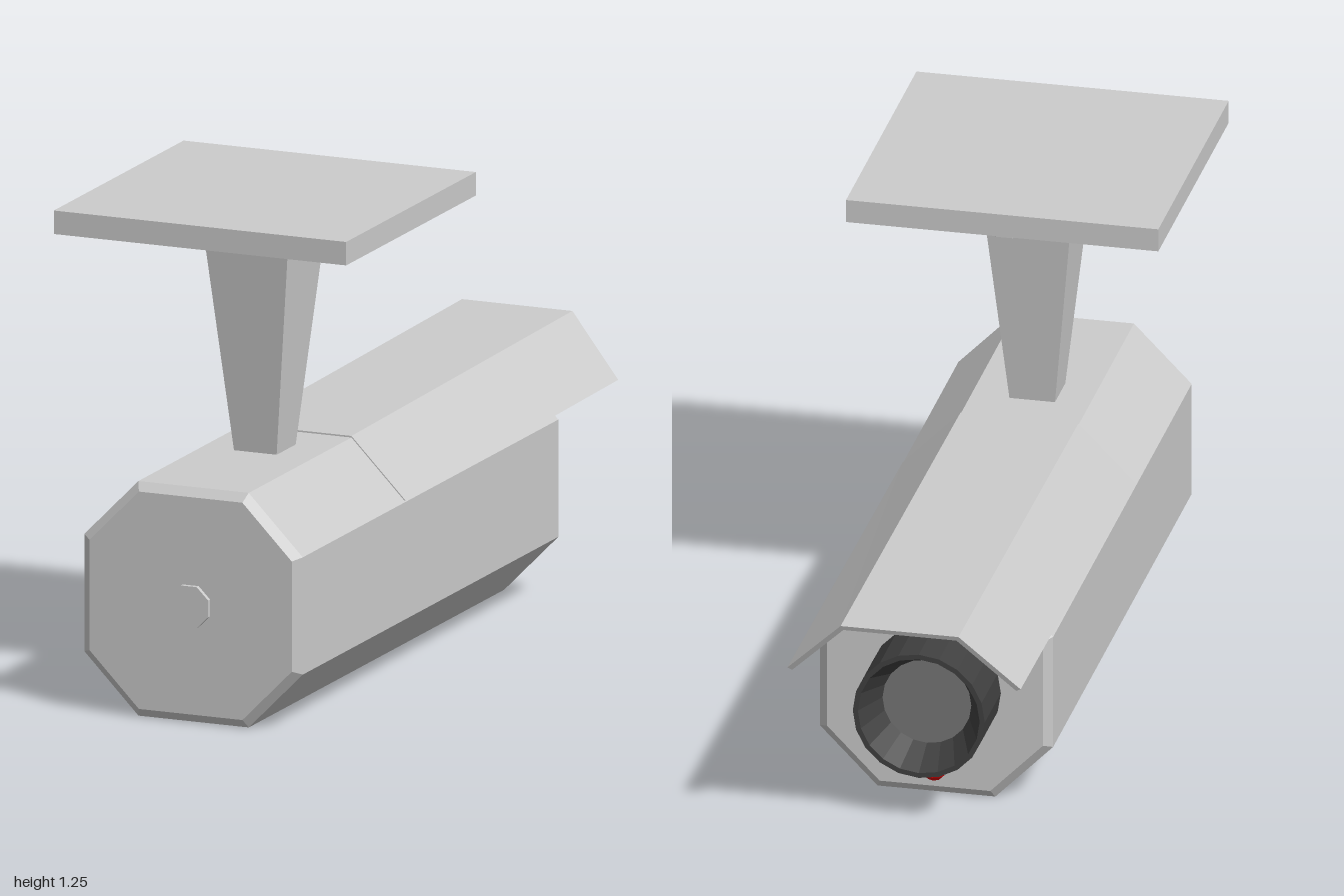
import * as THREE from 'three';

const material = (color = 0xcccccc) => new THREE.MeshStandardMaterial({ color, flatShading: true });

export function createModel() {
  const model = new THREE.Group();
  const grey = material(), black = material(0x404040), glass = material(0x777777), red = material(0xdd0000);

  const add = (name, geometry, mat, x = 0, y = 0, z = 0) => {
    const mesh = new THREE.Mesh(geometry, mat);
    mesh.name = name;
    mesh.position.set(x, y, z);
    model.add(mesh);
    return mesh;
  };
  const shape = pts => new THREE.Shape(pts.map(p => new THREE.Vector2(...p)));
  // Square frustum standing on y, given half widths
  const frustum = (top, bottom, height) =>
    new THREE.CylinderGeometry(top * Math.SQRT2, bottom * Math.SQRT2, height, 4).rotateY(Math.PI / 4);
  // Disc with octagonal outline, flats up and sideways
  const octagon = (r, depth) =>
    new THREE.CylinderGeometry(r, r, depth, 8).rotateY(Math.PI / 8);

  const cx = 0.005, w = 0.297, f = 0.15;

  // Octagonal housing with bevelled ends
  const housing = new THREE.ExtrudeGeometry(
    shape([[-f, 0], [f, 0], [w, 0.15], [w, 0.45], [f, 0.6], [-f, 0.6], [-w, 0.45], [-w, 0.15]]),
    { depth: 1.555, bevelThickness: 0.018, bevelSize: 0.022, bevelOffset: -0.022, bevelSegments: 1 });
  add('housing', housing, grey, cx, 0, -0.585);

  // Sun visor: thin folded sheet, rising towards a raked lens end
  const t = 0.012;
  const visor = new THREE.ExtrudeGeometry(
    shape([[w, 0.45], [f, 0.6], [-f, 0.6], [-w, 0.45], [-w + t, 0.45 - t / 2],
      [-f + t / 2, 0.6 - t], [f - t / 2, 0.6 - t], [w - t, 0.45 - t / 2]]),
    { depth: 1, bevelEnabled: false });
  const p = visor.attributes.position;
  for (let i = 0; i < p.count; i++) {
    const y = p.getY(i), k = p.getZ(i);
    const tip = -1 + (0.6 - y) / 3;
    p.setXYZ(i, p.getX(i), y + 0.004 + 0.015 * (1 - k), THREE.MathUtils.lerp(tip, 0.345, k));
  }
  visor.computeVertexNormals();
  add('visor', visor, grey, cx);

  // Lens barrel with a conical recess and glass
  const profile = [[0.168, 0], [0.168, 0.182], [0.155, 0.182], [0.113, 0.09]];
  const barrel = new THREE.LatheGeometry(profile.map(q => new THREE.Vector2(...q)), 20);
  add('lensBarrel', barrel.rotateX(-Math.PI / 2), black, cx, 0.292, -0.602);
  add('lensGlass', new THREE.CircleGeometry(0.115, 20).rotateY(Math.PI), glass, cx, 0.292, -0.691);

  // Indicator light in a small collar
  add('lightCollar', octagon(0.04, 0.02).rotateX(Math.PI / 2), grey, cx, 0.077, -0.605);
  add('indicatorLight', new THREE.SphereGeometry(0.035, 8, 6), red, cx, 0.077, -0.608);

  // Rear cap
  add('rearCap', octagon(0.057, 0.024).rotateX(Math.PI / 2), grey, cx, 0.3, 0.988);

  // Ceiling mount: tapered stem and plate with a shallow pyramid underside
  add('stem', frustum(0.118, 0.057, 0.6), grey, 0, 0.89, 0.525);
  add('mountPlate', new THREE.BoxGeometry(0.795, 0.06, 0.79), grey, 0, 1.225, 0.525);
  add('plateUnderside', frustum(0.395, 0.118, 0.015), grey, 0, 1.1875, 0.525);
  add('plateButton', octagon(0.055, 0.016), grey, 0, 1.19, 0.205);

  return model;
}
